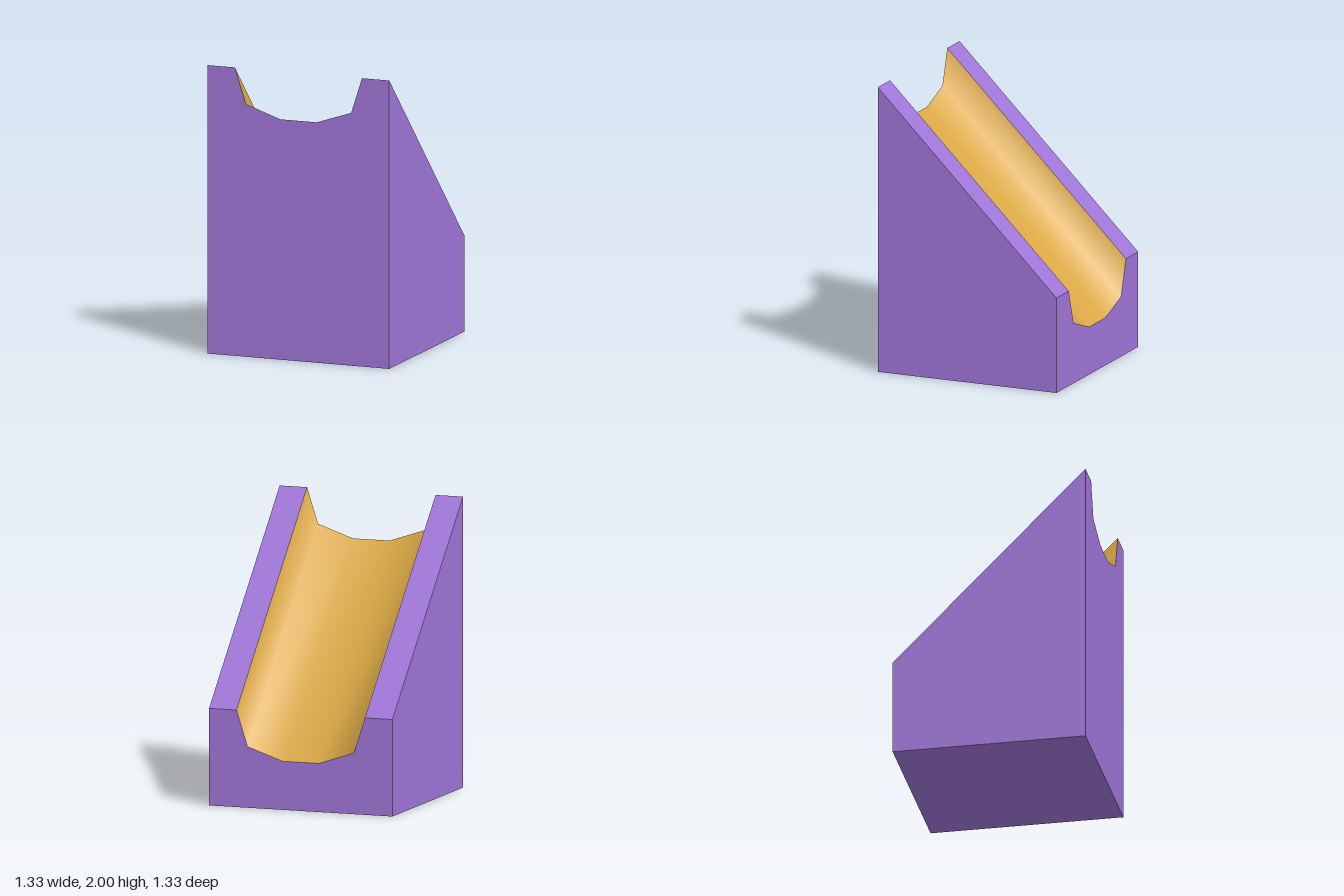
import * as THREE from 'three';

const HALF = 0.667; // half width and half depth
const DROP = 1.333; // height lost from front to back

export function createModel() {
  const purple = new THREE.MeshStandardMaterial({ color: 0xa076d9 });
  purple.name = 'purple';
  const gold = new THREE.MeshStandardMaterial({ color: 0xdaa845 });
  gold.name = 'gold';

  const group = new THREE.Group();
  group.name = 'slopedChannelBlock';

  const add = (name, geometry, material) => {
    const mesh = new THREE.Mesh(geometry, material);
    mesh.name = name;
    group.add(mesh);
    return mesh;
  };

  // Points on the ground stay there, all others follow the slope
  const backY = (y) => (y > 0 ? y - DROP : 0);

  // Surface running from front to back along a profile, clockwise as seen from the front
  const strip = (name, profile, material) => {
    const positions = [];
    const index = [];
    profile.forEach(([x, y], i) => {
      positions.push(x, y, HALF, x, backY(y), -HALF);
      if (i > 0) {
        const a = 2 * (i - 1);
        index.push(a, a + 2, a + 3, a, a + 3, a + 1);
      }
    });
    const geometry = new THREE.BufferGeometry();
    geometry.setAttribute('position', new THREE.Float32BufferAttribute(positions, 3));
    geometry.setIndex(index);
    geometry.computeVertexNormals();
    return add(name, geometry, material);
  };

  const groove = [
    [-0.467, 2], [-0.387, 1.753], [-0.133, 1.667],
    [0.133, 1.667], [0.387, 1.753], [0.467, 2],
  ];
  const outline = [[-HALF, 0], [-HALF, 2], ...groove, [HALF, 2], [HALF, 0]];

  // Smooth channel
  strip('channel', groove, gold);

  // Flat sides, rails and base
  strip('rightSide', [[-HALF, 0], [-HALF, 2]], purple);
  strip('rightRail', [[-HALF, 2], groove[0]], purple);
  strip('leftRail', [groove[5], [HALF, 2]], purple);
  strip('leftSide', [[HALF, 2], [HALF, 0]], purple);
  strip('base', [[HALF, 0], [-HALF, 0]], purple);

  // Front and back end walls
  const wall = (map) =>
    new THREE.ShapeGeometry(new THREE.Shape(outline.map(([x, y]) => new THREE.Vector2(x, map(y)))));
  add('frontWall', wall((y) => y), purple).position.z = HALF;
  const back = add('backWall', wall(backY), purple);
  back.position.z = -HALF;
  back.rotation.y = Math.PI;

  return group;
}
